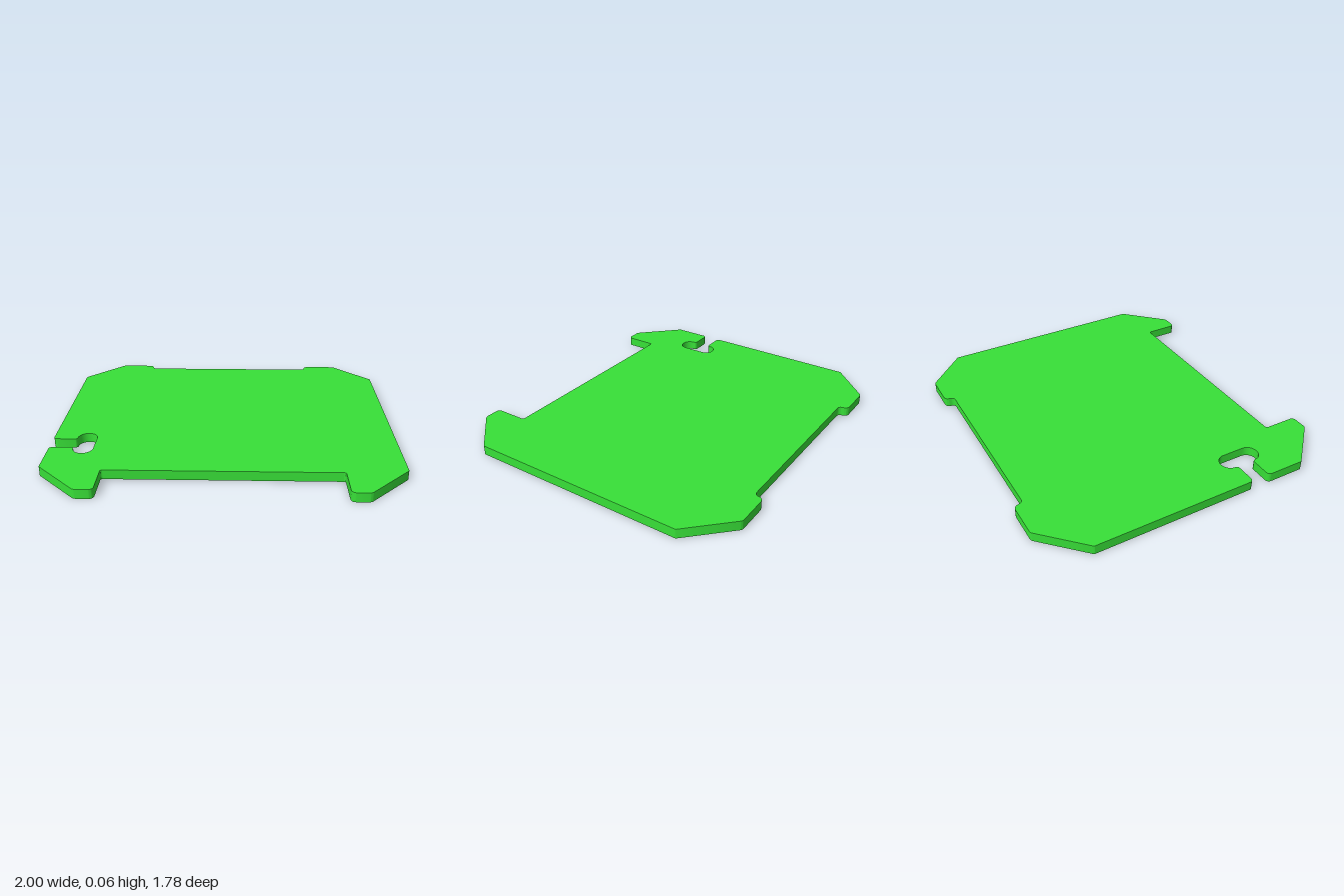
import * as THREE from 'three';
import { toCreasedNormals } from 'three/addons/utils/BufferGeometryUtils.js';

const THICKNESS = 0.056;

// Closed outline from corners [x, z, radius], each corner rounded by an arc
function roundedOutline(corners) {
  const shape = new THREE.Shape();
  const pts = corners.map(([x, z]) => new THREE.Vector2(x, -z));
  const n = pts.length;
  pts.forEach((p, i) => {
    const r = corners[i][2];
    const back = pts[(i + n - 1) % n].clone().sub(p).normalize();
    const ahead = pts[(i + 1) % n].clone().sub(p).normalize();
    const turn = Math.PI - Math.acos(THREE.MathUtils.clamp(back.dot(ahead), -1, 1));
    const reach = r * Math.tan(turn / 2);
    const handle = reach - (4 / 3) * Math.tan(turn / 4) * r;
    const at = (dir, d) => p.clone().addScaledVector(dir, d);
    const a = at(back, reach), b = at(ahead, reach);
    const c1 = at(back, handle), c2 = at(ahead, handle);
    if (i === 0) shape.moveTo(a.x, a.y);
    else shape.lineTo(a.x, a.y);
    shape.bezierCurveTo(c1.x, c1.y, c2.x, c2.y, b.x, b.y);
  });
  shape.closePath();
  return shape;
}

export function createModel() {
  const group = new THREE.Group();
  group.name = 'panel';

  // Right-hand half outline, from the back centre round to the front centre
  const half = [
    [0.545, -0.835, 0.025], // step up to the rear tab
    [0.555, -0.89, 0.03],
    [0.765, -0.89, 0.03],
    [1, -0.655, 0.012],     // chamfered rear corner
    [1, 0.655, 0.012],      // chamfered front corner
    [0.765, 0.89, 0.035],   // front foot
    [0.66, 0.89, 0.025],
    [0.66, 0.685, 0.012],
  ];
  const mirrored = half.map(([x, z, r]) => [-x, z, r]).reverse();

  // T-shaped notch in the side edge: narrow mouth, round-ended slot
  const notch = [
    [-1, 0.423, 0.022],
    [-0.86, 0.423, 0.015],
    [-0.86, 0.495, 0.056],
    [-0.746, 0.495, 0.056],
    [-0.746, 0.246, 0.056],
    [-0.86, 0.246, 0.056],
    [-0.86, 0.32, 0.015],
    [-1, 0.32, 0.022],
  ];
  const corners = [...half, ...mirrored.slice(0, 4), ...notch, ...mirrored.slice(4)];

  const geometry = new THREE.ExtrudeGeometry(roundedOutline(corners), {
    depth: THICKNESS, bevelEnabled: false, curveSegments: 8,
  });
  geometry.rotateX(-Math.PI / 2);

  const plate = new THREE.Mesh(
    toCreasedNormals(geometry, Math.PI / 6),
    new THREE.MeshStandardMaterial({ color: 0x38e038 }),
  );
  plate.name = 'notchedPlate';
  group.add(plate);
  return group;
}
